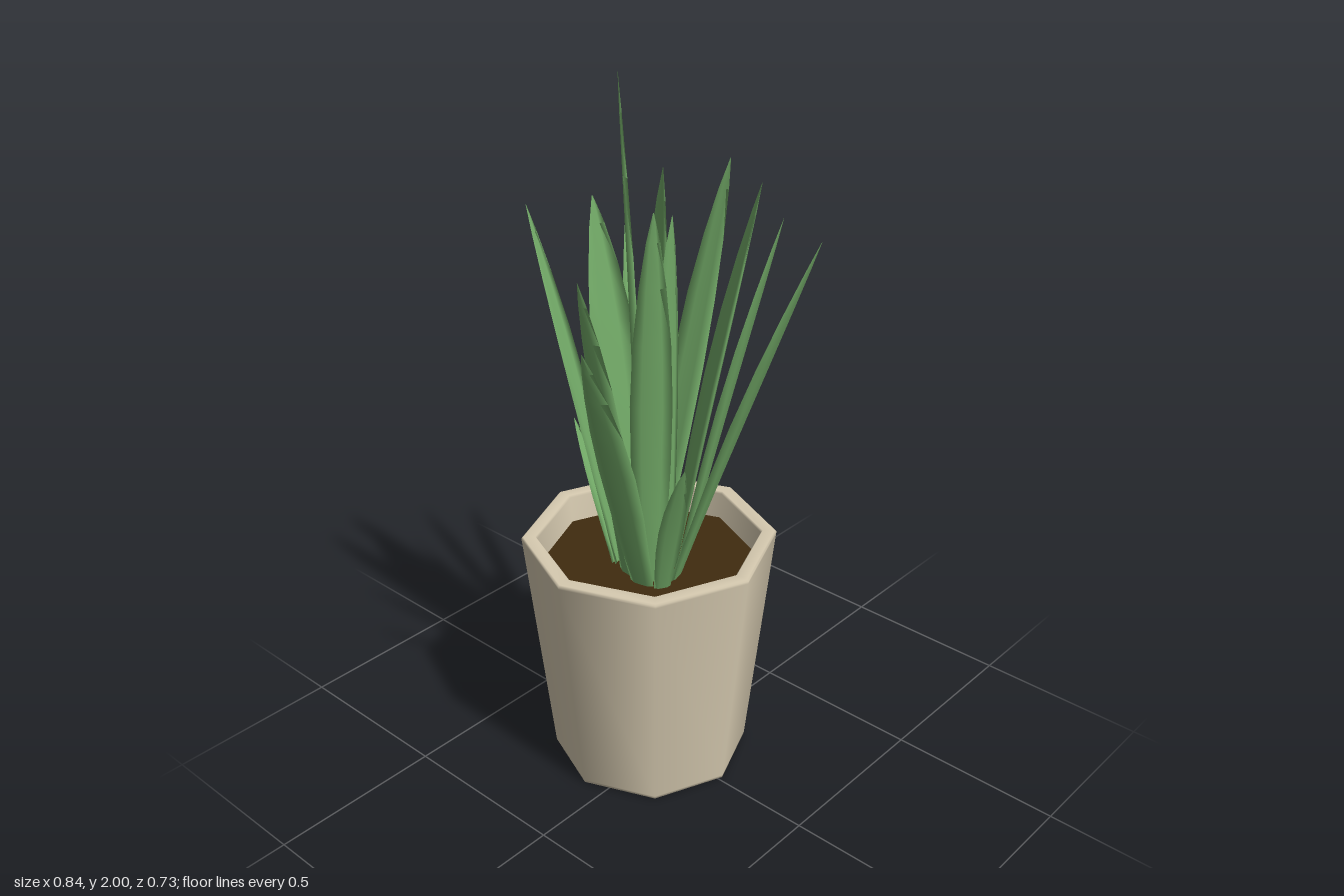
import * as THREE from 'three';

const mat = (name, color, side = THREE.FrontSide) => {
  const m = new THREE.MeshStandardMaterial({ color, side });
  m.name = name;
  return m;
};

// Leaf cross-section: [across, outward] in half-widths, shallow channel opening inward
const SECTION = [[1, -0.1], [0.5, 0.16], [-0.5, 0.16], [-1, -0.1], [-0.4, -0.04], [0.4, -0.04]];
// Leaf outline: [height fraction, width fraction]
const OUTLINE = [[0, 0.62], [0.15, 0.76], [0.35, 0.95], [0.52, 1], [0.68, 0.88], [0.82, 0.62], [0.93, 0.31], [1, 0.02]];

// Blade from a base point to a tip; facing is the heading of its outer side
function leafGeometry(base, tip, width, facing, bow) {
  const n = new THREE.Vector3(Math.cos(facing), 0, Math.sin(facing));
  const w = new THREE.Vector3(-n.z, 0, n.x);
  const pos = [], idx = [], k = SECTION.length;
  for (const [t, s] of OUTLINE) {
    const c = base.clone().lerp(tip, t).addScaledVector(n, -bow * Math.sin(Math.PI * t));
    for (const [a, b] of SECTION) {
      const p = c.clone().addScaledVector(w, a * s * width / 2).addScaledVector(n, b * s * width / 2);
      pos.push(p.x, p.y, p.z);
    }
  }
  for (let i = 0; i < OUTLINE.length - 1; i++) {
    for (let j = 0; j < k; j++) {
      const a = i * k + j, b = i * k + (j + 1) % k;
      idx.push(a, b, a + k, b, b + k, a + k);
    }
  }
  const g = new THREE.BufferGeometry();
  g.setAttribute('position', new THREE.Float32BufferAttribute(pos, 3));
  g.setIndex(idx);
  g.computeVertexNormals();
  return g;
}

export function createModel() {
  const model = new THREE.Group();
  model.name = 'pottedPlant';
  const clay = mat('beige clay', 0xd6cab0);
  const earth = mat('dark soil', 0x402b0f);
  const green = mat('leaf green', 0x73ab68, THREE.DoubleSide);

  // Eight-sided pot with a flat rim and hollow top
  const profile = [
    [0, 0], [0.272, 0], [0.28, 0.004], [0.281, 0.012], [0.354, 0.7], [0.355, 0.708],
    [0.35, 0.712], [0.316, 0.712], [0.311, 0.706], [0.3, 0.58],
  ].map(([x, y]) => new THREE.Vector2(x, y));
  const pot = new THREE.Mesh(new THREE.LatheGeometry(profile, 8), clay);
  pot.name = 'pot';
  pot.position.set(-0.067, 0, -0.01);
  model.add(pot);

  // Soil surface
  const soil = new THREE.Mesh(new THREE.CylinderGeometry(0.304, 0.298, 0.03, 8), earth);
  soil.name = 'soil';
  soil.position.set(-0.067, 0.615, -0.01);
  model.add(soil);

  // Leaves: base x, z; tip x, y, z; width; optional facing in degrees (x towards z)
  const leaves = [
    [-0.06, 0.03, -0.12, 2.0, 0.035, 0.14, 135],
    [-0.05, -0.03, -0.06, 1.75, -0.06, 0.13, -75],
    [-0.12, -0.03, -0.37, 1.51, -0.25, 0.05],
    [-0.12, 0.05, -0.37, 1.63, 0.12, 0.08],
    [-0.08, -0.04, -0.09, 1.7, -0.36, 0.11, -90],
    [-0.01, -0.04, 0.12, 1.71, -0.23, 0.11],
    [0.03, -0.02, 0.29, 1.69, -0.1, 0.09],
    [0.04, 0.01, 0.42, 1.67, -0.08, 0.1],
    [0.05, 0.07, 0.21, 1.08, 0.16, 0.07],
    [0, 0.09, 0.06, 1.42, 0.36, 0.11],
    [-0.06, 0.08, -0.07, 1.53, 0.24, 0.11, 95],
    [-0.12, 0.06, -0.29, 1.02, 0.05, 0.05],
    [0.01, 0.07, 0.09, 1.72, 0.14, 0.11],
    [0.03, 0.03, 0.06, 1.68, 0.04, 0.11, 0],
    [-0.1, 0.02, -0.23, 1.66, 0.02, 0.18, 180],
  ];
  const foliage = new THREE.Group();
  foliage.name = 'leaves';
  for (const [bx, bz, tx, ty, tz, width, deg] of leaves) {
    const facing = deg === undefined ? Math.atan2(tz - bz, tx - bx) : deg * Math.PI / 180;
    const g = leafGeometry(new THREE.Vector3(bx, 0.6, bz), new THREE.Vector3(tx, ty, tz), width, facing, 0.012);
    const leaf = new THREE.Mesh(g, green);
    leaf.name = 'leaf';
    foliage.add(leaf);
  }
  model.add(foliage);
  return model;
}
